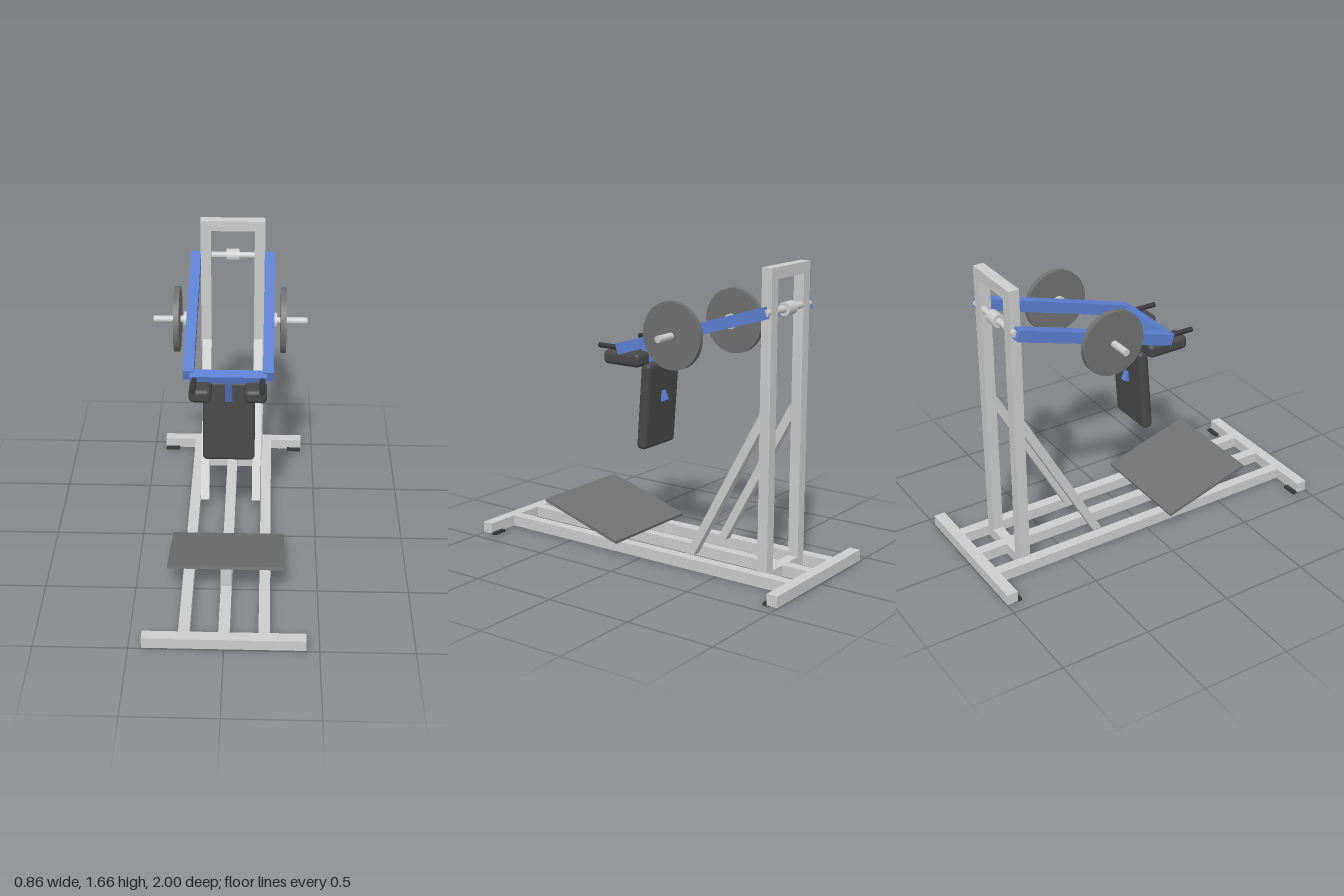
import * as THREE from 'three';
import { RoundedBoxGeometry } from 'three/addons/geometries/RoundedBoxGeometry.js';

const mat = (color) => new THREE.MeshStandardMaterial({ color });

export function createModel() {
  const model = new THREE.Group();
  const steel = mat(0xcccccc), blue = mat(0x5b80d0), pad = mat(0x484848);
  const iron = mat(0x707070), rubber = mat(0x383838);

  function add(name, geometry, material, x, y, z, tilt = 0) {
    const mesh = new THREE.Mesh(geometry, material);
    mesh.name = name;
    mesh.position.set(x, y, z);
    mesh.rotation.x = tilt;
    model.add(mesh);
    return mesh;
  }
  // Box given by its extents on each axis
  function block(name, material, x0, x1, y0, y1, z0, z1) {
    return add(name, new THREE.BoxGeometry(x1 - x0, y1 - y0, z1 - z0), material,
      (x0 + x1) / 2, (y0 + y1) / 2, (z0 + z1) / 2);
  }
  // Sloping bar at a given x, running between two [z, y] points
  function beam(name, material, x, width, height, [z0, y0], [z1, y1]) {
    const length = Math.hypot(z1 - z0, y1 - y0);
    return add(name, new THREE.BoxGeometry(width, height, length), material,
      x, (y0 + y1) / 2, (z0 + z1) / 2, -Math.atan2(y1 - y0, z1 - z0));
  }
  // Round bar along x
  function rod(name, material, radius, x0, x1, y, z, sides = 32) {
    const g = new THREE.CylinderGeometry(radius, radius, Math.abs(x1 - x0), sides).rotateZ(Math.PI / 2);
    return add(name, g, material, (x0 + x1) / 2, y, z);
  }

  // Floor frame
  block('frontBaseBar', steel, -0.43, 0.43, 0.005, 0.067, 0.937, 1);
  block('rearBaseBar', steel, -0.43, 0.43, 0.005, 0.067, -1, -0.937);
  block('centreRail', steel, -0.03, 0.03, 0.005, 0.067, -0.937, 0.937);
  block('uprightCrossBar', steel, -0.18, 0.18, 0.005, 0.067, -0.785, -0.725);

  // Upright frame top and pivot shaft
  block('topBar', steel, -0.185, 0.185, 1.6, 1.66, -0.785, -0.725);
  rod('pivotShaft', steel, 0.018, -0.21, 0.21, 1.435, -0.767);
  rod('pivotBearing', steel, 0.036, -0.038, 0.038, 1.435, -0.767);

  // Diagonal brace outline, cut level at the floor and upright at the post
  const braceShape = new THREE.Shape([
    [-0.262, 0.067], [-0.72, 0.91], [-0.72, 0.81], [-0.315, 0.067],
  ].map(([z, y]) => new THREE.Vector2(z, y)));
  const braceGeometry = new THREE.ExtrudeGeometry(braceShape, { depth: 0.05, bevelEnabled: false })
    .translate(0, 0, -0.025).rotateY(-Math.PI / 2);

  for (const s of [-1, 1]) {
    const side = s > 0 ? 'left' : 'right';
    const pair = (a, b) => (s > 0 ? [a, b] : [-b, -a]);

    block(side + 'Rail', steel, ...pair(0.18, 0.24), 0.005, 0.067, -0.937, 0.937);
    block(side + 'Upright', steel, ...pair(0.125, 0.185), 0.005, 1.6, -0.785, -0.725);
    add(side + 'Brace', braceGeometry, steel, s * 0.152, 0, 0);
    block(side + 'FrontFoot', rubber, ...pair(0.345, 0.428), 0, 0.014, 0.912, 0.96);
    block(side + 'RearFoot', rubber, ...pair(0.345, 0.428), 0, 0.014, -0.96, -0.912);

    // Swinging arm with its weight peg
    beam(side + 'Arm', blue, s * 0.212, 0.058, 0.062, [-0.765, 1.436], [0.155, 1.156]);
    rod(side + 'PegCollar', steel, 0.042, s * 0.24, s * 0.256, 1.28, -0.255);
    rod(side + 'Peg', steel, 0.019, s * 0.24, s * 0.422, 1.28, -0.255);
    rod(side + 'WeightPlate', iron, 0.18, s * 0.275, s * 0.306, 1.28, -0.255, 64);

    // Shoulder pad and hand grip
    add(side + 'ShoulderPad', new RoundedBoxGeometry(0.118, 0.078, 0.242, 4, 0.025), pad,
      s * 0.147, 1.095, 0.158);
    add(side + 'Grip', new THREE.CylinderGeometry(0.014, 0.014, 0.15, 24).rotateX(Math.PI / 2),
      rubber, s * 0.18, 1.152, 0.245);
  }

  // Bar joining the arms, back pad and its strut
  beam('armCrossBar', blue, 0, 0.41, 0.048, [0.132, 1.162], [0.184, 1.146]);
  beam('backPadStrut', blue, 0, 0.038, 0.035, [0.145, 1.145], [0.01, 0.845]);
  add('backPad', new RoundedBoxGeometry(0.286, 0.485, 0.063, 4, 0.024), pad, 0, 0.828, 0.055, -0.075);

  // Sloping foot plate on two posts
  beam('footPlate', iron, 0, 0.63, 0.016, [0.11, 0.088], [0.62, 0.241]);
  block('frontPlatePost', steel, -0.03, 0.03, 0.067, 0.205, 0.493, 0.553);
  block('rearPlatePost', steel, -0.03, 0.03, 0.067, 0.102, 0.172, 0.232);

  return model;
}
